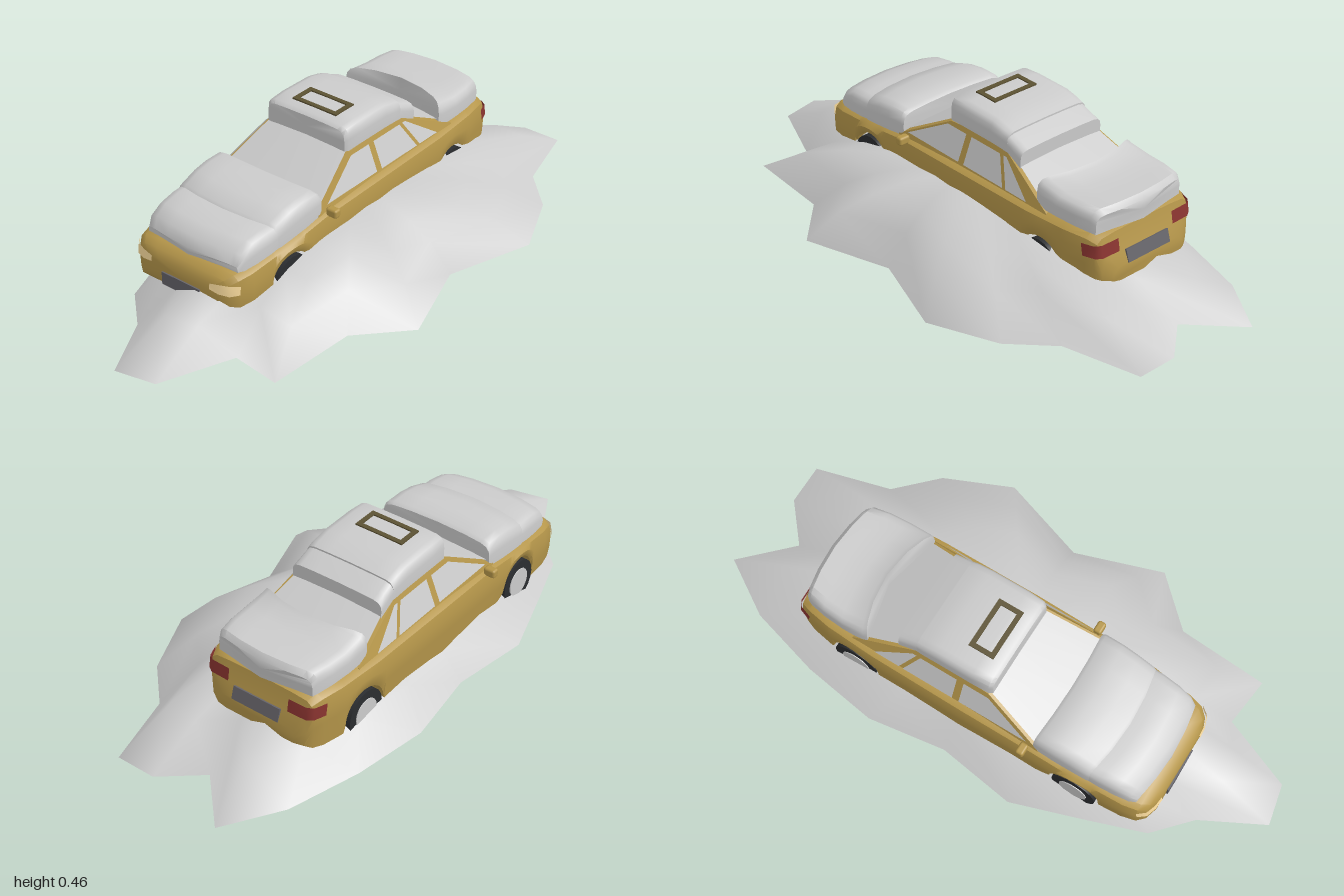
import * as THREE from 'three';
import { toCreasedNormals } from 'three/addons/utils/BufferGeometryUtils.js';
import { RoundedBoxGeometry } from 'three/addons/geometries/RoundedBoxGeometry.js';

const mat = (color) => new THREE.MeshStandardMaterial({ color, side: THREE.DoubleSide });
const SNOW = mat(0xcccccc), PAINT = mat(0xb5964a), DARK = mat(0x66646a);
const TYRE = mat(0x2b2d30), LAMP = mat(0xffe0a0), RED = mat(0x8a3430), SIGN = mat(0x5c5233);

function add(parent, name, geometry, material, x = 0, y = 0, z = 0) {
  const mesh = new THREE.Mesh(geometry, material);
  mesh.name = name;
  mesh.position.set(x, y, z);
  parent.add(mesh);
  return mesh;
}

function indexed(points, index) {
  const g = new THREE.BufferGeometry();
  g.setAttribute('position', new THREE.Float32BufferAttribute(points, 3));
  g.setIndex(index);
  g.computeVertexNormals();
  return g;
}

// Linear lookup in rows of [z, a, b, ...] with falling z
function lookup(rows, z) {
  let i = 0;
  while (i < rows.length - 2 && z < rows[i + 1][0]) i++;
  const p = rows[i], q = rows[i + 1];
  const k = THREE.MathUtils.clamp((p[0] - z) / (p[0] - q[0]), 0, 1);
  return p.map((v, n) => v + (q[n] - v) * k);
}

// Closed skin through mirrored half sections, from front to back.
// section(z) gives [x, y] from top centre outwards and down; bow pulls the sides back in z.
function loft(stations, section, bow = () => 0, crease = 0.6) {
  const pts = [], idx = [];
  let n = 0;
  for (const z of stations) {
    const half = section(z);
    const ring = [...half, ...half.slice(1).reverse().map(([x, y]) => [-x, y])];
    n = ring.length;
    for (const [x, y] of ring) pts.push(x, y, z - bow(z) * (x / 0.2) ** 2);
  }
  const m = stations.length;
  for (let i = 0; i < m - 1; i++) for (let j = 0; j < n; j++) {
    const a = i * n + j, b = i * n + (j + 1) % n;
    idx.push(a, b, a + n, b, b + n, a + n);
  }
  // end caps fanned from their centres
  for (const [s, front] of [[0, true], [m - 1, false]]) {
    const half = section(stations[s]);
    const c = pts.length / 3, y = (half[0][1] + half[half.length - 1][1]) / 2;
    pts.push(0, y, stations[s]);
    for (let j = 0; j < n; j++) {
      const a = s * n + j, b = s * n + (j + 1) % n;
      idx.push(c, front ? b : a, front ? a : b);
    }
  }
  return toCreasedNormals(indexed(pts, idx), crease);
}

// Ribbon between a lower and an upper row of points
function ribbon(low, high) {
  const pts = [], idx = [];
  low.forEach((p, i) => {
    pts.push(...p, ...high[i]);
    if (i) idx.push(2 * i - 2, 2 * i, 2 * i - 1, 2 * i, 2 * i + 1, 2 * i - 1);
  });
  return indexed(pts, idx);
}

function mound() {
  const rim = [[-0.25, -1], [-0.09, -0.84], [0.04, -0.95], [0.18, -0.95], [0.25, -0.69], [0.38, -0.56],
    [0.48, -0.33], [0.38, -0.03], [0.48, 0.27], [0.33, 0.43], [0.31, 0.745], [0.14, 0.725], [0.04, 0.97],
    [-0.1, 1], [-0.21, 0.79], [-0.33, 0.68], [-0.4, 0.48], [-0.48, 0.24], [-0.44, -0.03], [-0.48, -0.3],
    [-0.44, -0.56], [-0.37, -0.81]];
  const rings = [[0.2, 0.196], [0.4, 0.181], [0.6, 0.148], [0.8, 0.095], [1, 0]];
  const pts = [0, 0.2, 0], idx = [], n = rim.length;
  for (const [t, y] of rings) for (const [x, z] of rim) pts.push(x * t, y, z * t);
  for (let j = 0; j < n; j++) {
    const k = (j + 1) % n;
    idx.push(0, 1 + k, 1 + j);
    for (let r = 0; r < rings.length - 1; r++) {
      const a = 1 + r * n + j, b = 1 + r * n + k;
      idx.push(a, b, a + n, b, b + n, a + n);
    }
  }
  return indexed(pts, idx);
}

// z, half width, top, bottom of the lower body
const BODY = [[0.67, 0.15, 0.172, 0.105], [0.655, 0.188, 0.195, 0.08], [0.63, 0.21, 0.21, 0.068],
  [0.58, 0.222, 0.216, 0.066], [0.4, 0.234, 0.237, 0.068], [0.25, 0.238, 0.258, 0.07], [0, 0.24, 0.265, 0.072],
  [-0.35, 0.237, 0.27, 0.075], [-0.52, 0.228, 0.276, 0.08], [-0.6, 0.214, 0.277, 0.085],
  [-0.635, 0.2, 0.265, 0.09], [-0.652, 0.182, 0.2, 0.1], [-0.67, 0.15, 0.16, 0.11]];
const AXLES = [0.41, -0.42], HUB = 0.1, ARCH = 0.09;

function bodySection(z) {
  let [, w, t, b] = lookup(BODY, z);
  for (const a of AXLES) {
    const d = ARCH ** 2 - (z - a) ** 2;
    if (d > 0) b = Math.max(b, HUB + Math.sqrt(d));
  }
  const y1 = Math.max(t - 0.05, b + (t - b) * 0.5), y2 = Math.max(t - 0.1, b + (t - b) * 0.2);
  return [[0, t + 0.006], [w * 0.6, t + 0.004], [w * 0.87, t], [w * 0.96, t - 0.014], [w, y1],
    [w * 0.99, y2], [w * 0.96, b], [0, b]];
}

// Cabin roof line and its half width at a height
const CABIN = [[0.27, 0.258], [0.06, 0.375], [-0.06, 0.384], [-0.2, 0.38], [-0.43, 0.274]];
const cabinWidth = (y) => 0.214 - (y - 0.262) * 0.4;
function cabinSection(z) {
  const y = lookup(CABIN, z)[1];
  return [[0, y + 0.008], [cabinWidth(y) * 0.7, y + 0.005], [cabinWidth(y), y - 0.003], [0.217, 0.25], [0, 0.25]];
}

// Snow slab: rows of [z, half width, top, base]
function snowSlab(rows, bow) {
  const section = (z) => {
    const [, w, t, b] = lookup(rows, z), h = t - b;
    return [[0, t + 0.003], [w * 0.5, t + 0.002], [w * 0.82, t], [w * 0.93, t - h * 0.08],
      [w * 0.985, t - h * 0.25], [w, t - h * 0.5], [w, b], [0, b]];
  };
  return loft(rows.map((r) => r[0]), section, bow, 0.8);
}

export function createModel() {
  const model = new THREE.Group();
  model.name = 'snowedInCar';
  add(model, 'snowMound', mound(), SNOW);

  const car = new THREE.Group();
  car.name = 'car';
  car.position.x = -0.13;
  model.add(car);

  // Lower body with wheel arches, floor and cabin
  const zs = BODY.map((r) => r[0]);
  for (const a of AXLES) for (let i = -6; i <= 6; i++) zs.push(a + ARCH * Math.sin(i * Math.PI / 12) + 0.0001);
  zs.sort((p, q) => q - p);
  add(car, 'lowerBody', loft(zs, bodySection), PAINT);
  add(car, 'floor', new THREE.BoxGeometry(0.31, 0.06, 1.16), PAINT, 0, 0.106, 0);
  add(car, 'cabin', loft(CABIN.map((r) => r[0]), cabinSection, () => 0, 0.4), PAINT);

  // Windscreen and rear window lie on the cabin slopes
  const pane = (z0, z1) => {
    const row = (z) => [-1, -0.7, 0, 0.7, 1].map((k) => {
      const y = lookup(CABIN, z)[1];
      return [k * (cabinWidth(y) - 0.01), y + 0.011 - 0.007 * k * k, z];
    });
    return ribbon(row(z0), row(z1));
  };
  add(car, 'windscreen', pane(0.262, 0.065), SNOW);
  add(car, 'rearWindow', pane(-0.215, -0.425), SNOW);

  // Parts on both sides
  for (const s of [1, -1]) {
    const windows = { frontWindow: [0.225, 0.065, -0.025, -0.025], rearDoorWindow: [-0.05, -0.05, -0.235, -0.185],
      quarterWindow: [-0.25, -0.2, -0.345, -0.215] };
    for (const [name, [a, b, c, d]] of Object.entries(windows)) {
      const at = (y, z) => [s * (cabinWidth(y) + 0.006), y, z];
      add(car, name, ribbon([at(0.275, a), at(0.275, c)], [at(0.364, b), at(0.364, d)]), SNOW);
    }
    add(car, 'doorMirror', new RoundedBoxGeometry(0.042, 0.03, 0.028, 2, 0.008), PAINT, s * 0.238, 0.256, 0.225);

    const lamp = [[0.12, 0.675, 0.158, 0.176], [0.155, 0.672, 0.152, 0.184],
      [0.19, 0.66, 0.15, 0.186], [0.211, 0.634, 0.152, 0.182]];
    add(car, 'headlight', ribbon(lamp.map(([x, z, y]) => [s * x, y, z]),
      lamp.map(([x, z, , y]) => [s * x, y, z - 0.004])), LAMP);

    const tail = [[0.115, -0.656], [0.183, -0.654], [0.203, -0.641], [0.218, -0.6]];
    add(car, 'tailLight', ribbon(tail.map(([x, z]) => [s * x, 0.208, z]),
      tail.map(([x, z]) => [s * x, 0.25, z + 0.008])), RED);

    for (const z of AXLES) {
      const wheel = new THREE.Group();
      wheel.name = 'wheel';
      wheel.position.set(s * 0.198, HUB, z);
      wheel.rotation.z = -s * Math.PI / 2;
      car.add(wheel);
      add(wheel, 'tyre', new THREE.CylinderGeometry(0.08, 0.08, 0.06, 20), TYRE);
      add(wheel, 'rim', new THREE.CylinderGeometry(0.05, 0.054, 0.066, 20), SNOW);
    }
  }

  // Dark panels in the bumpers
  add(car, 'frontGrille', new THREE.BoxGeometry(0.156, 0.045, 0.012), DARK, 0, 0.113, 0.669);
  add(car, 'rearPanel', new THREE.BoxGeometry(0.18, 0.044, 0.02), DARK, 0, 0.18, -0.657).rotation.x = 0.3;

  // Snow lying on bonnet, roof and boot
  const front = (z) => (z > 0.4 ? 0.025 : 0.01);
  add(car, 'noseSnow', snowSlab([[0.635, 0.185, 0.235, 0.208], [0.615, 0.195, 0.268, 0.21],
    [0.57, 0.202, 0.29, 0.212], [0.51, 0.207, 0.298, 0.218], [0.46, 0.208, 0.298, 0.225]], front), SNOW);
  add(car, 'bonnetSnow', snowSlab([[0.49, 0.205, 0.285, 0.225], [0.47, 0.21, 0.306, 0.225], [0.41, 0.213, 0.326, 0.23],
    [0.34, 0.215, 0.334, 0.24], [0.275, 0.215, 0.334, 0.25], [0.262, 0.212, 0.325, 0.25]], front), SNOW);
  add(car, 'roofSnow', snowSlab([[0.072, 0.158, 0.445, 0.374], [0.06, 0.167, 0.455, 0.374], [0, 0.17, 0.458, 0.378],
    [-0.13, 0.17, 0.456, 0.378], [-0.18, 0.17, 0.444, 0.376], [-0.205, 0.168, 0.436, 0.372]], () => 0), SNOW);
  add(car, 'roofTailSnow', snowSlab([[-0.2, 0.168, 0.432, 0.372], [-0.24, 0.17, 0.416, 0.355],
    [-0.272, 0.172, 0.402, 0.345]], () => 0), SNOW);
  add(car, 'bootSnow', snowSlab([[-0.425, 0.198, 0.37, 0.275], [-0.44, 0.202, 0.362, 0.275], [-0.5, 0.204, 0.351, 0.278],
    [-0.57, 0.199, 0.352, 0.278], [-0.625, 0.188, 0.352, 0.276], [-0.64, 0.18, 0.335, 0.27]],
  (z) => (z > -0.5 ? -0.05 : -0.03)), SNOW);

  // Frame of the roof sign, nearly buried
  const frame = new THREE.Shape([[-0.09, -0.045], [0.09, -0.045], [0.09, 0.045], [-0.09, 0.045]]
    .map((p) => new THREE.Vector2(...p)));
  frame.holes.push(new THREE.Path([[-0.074, -0.029], [-0.074, 0.029], [0.074, 0.029], [0.074, -0.029]]
    .map((p) => new THREE.Vector2(...p))));
  add(car, 'roofSignFrame', new THREE.ExtrudeGeometry(frame, { depth: 0.02, bevelEnabled: false }), SIGN,
    0, 0.444, -0.015).rotation.x = -Math.PI / 2;
  return model;
}
